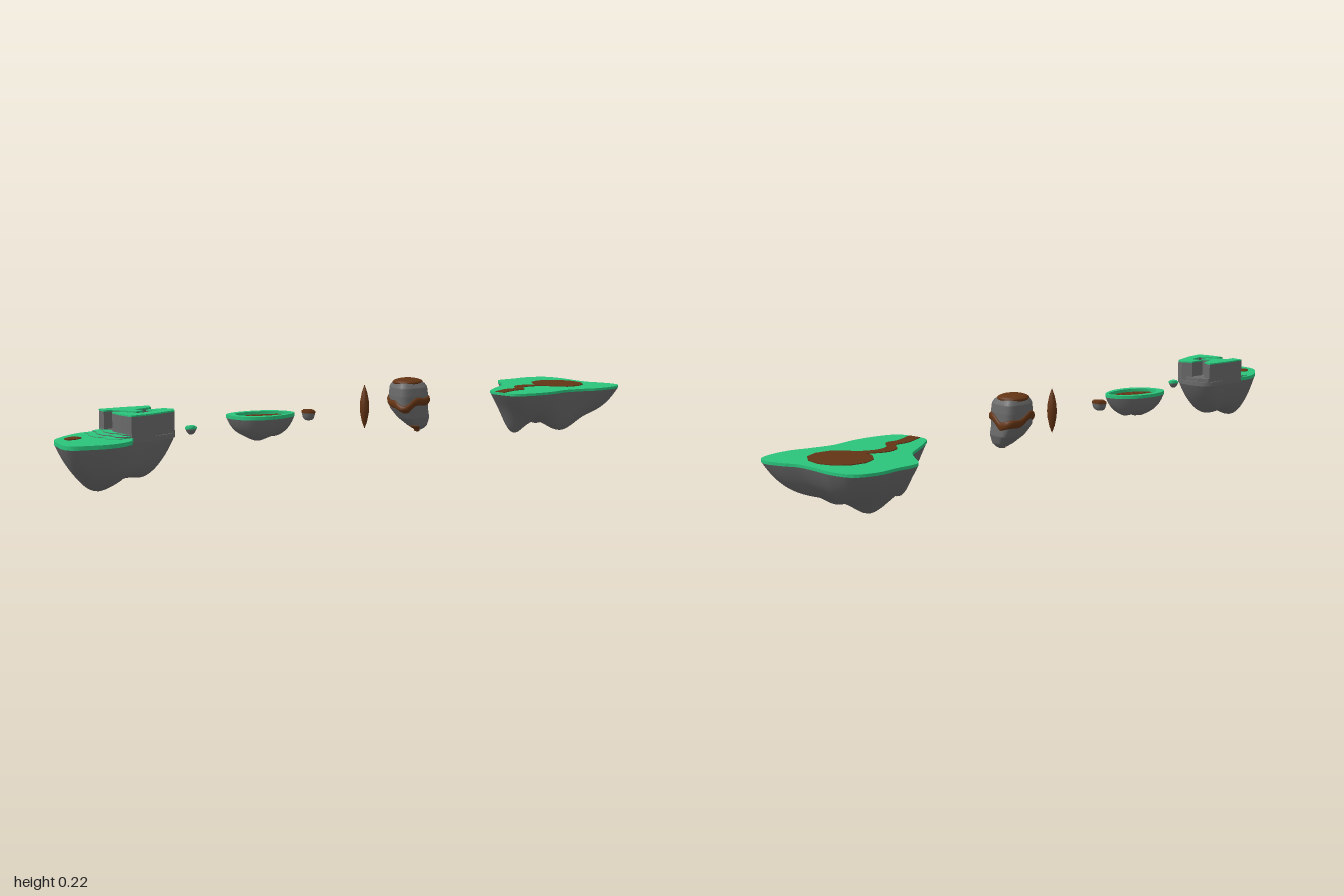
import * as THREE from 'three';
import { ParametricGeometry } from 'three/addons/geometries/ParametricGeometry.js';

const material = (color) => new THREE.MeshStandardMaterial({ color, side: THREE.DoubleSide });

export function createModel() {
  const rock = material(0x6a6a6a), grass = material(0x2ac47c), earth = material(0x633414);
  const model = new THREE.Group();
  model.name = 'floatingIslands';

  const add = (parent, name, geometry, mat) => {
    const mesh = new THREE.Mesh(geometry, mat);
    mesh.name = name;
    parent.add(mesh);
    return mesh;
  };
  const group = (name) => {
    const g = new THREE.Group();
    g.name = name;
    model.add(g);
    return g;
  };

  // Plan outlines are [x, z] pairs
  const closedCurve = (pts) =>
    new THREE.CatmullRomCurve3(pts.map(([x, z]) => new THREE.Vector3(x, 0, z)), true);
  const smooth = (pts, n = 72) => closedCurve(pts).getPoints(n).slice(0, n).map((p) => [p.x, p.z]);
  const scaled = (pts, cx, cz, s) => pts.map(([x, z]) => [cx + (x - cx) * s, cz + (z - cz) * s]);
  const ellipse = (cx, cz, rx, rz, n = 12) => Array.from({ length: n }, (_, i) => {
    const a = (i / n) * Math.PI * 2;
    return [cx + Math.cos(a) * rx, cz + Math.sin(a) * rz];
  });

  // Horizontal plate with vertical sides
  const slab = (parent, name, pts, y, depth, mat, hole) => {
    const toV2 = ([x, z]) => new THREE.Vector2(x, -z);
    const shape = new THREE.Shape(pts.map(toV2));
    if (hole) shape.holes.push(new THREE.Path(hole.map(toV2)));
    const geo = new THREE.ExtrudeGeometry(shape, { depth, bevelEnabled: false });
    geo.rotateX(-Math.PI / 2).translate(0, y, 0);
    return add(parent, name, geo, mat);
  };

  // Hanging rock: plan outline drawn in to a centre, with rounded lobes [x, z, radius, depth];
  // a higher fullness makes the sides steeper
  const underside = (parent, pts, [cx, cz], top, base, lobes, fullness, segments = 72) => {
    const curve = closedCurve(pts);
    const geo = new ParametricGeometry((u, v, target) => {
      const t = Math.max(0.002, Math.sqrt(Math.max(0, 1 - v)));
      const p = curve.getPoint(u % 1);
      const x = cx + (p.x - cx) * t, z = cz + (p.z - cz) * t;
      let d = base;
      for (const [lx, lz, r, a] of lobes) d += a * Math.exp(-((x - lx) ** 2 + (z - lz) ** 2) / (r * r));
      target.set(x, Math.max(0, top - d * (1 - t ** fullness)), z);
    }, segments, 24);
    return add(parent, 'hangingRock', geo, rock);
  };

  // Large back island with pond and stream
  const back = group('backIsland');
  const backPlan = [[-.13, -.975], [-.07, -.988], [0, -.98], [.055, -.977], [.1, -.992], [.15, -1], [.18, -.987],
    [.194, -.95], [.19, -.88], [.165, -.82], [.145, -.76], [.145, -.69], [.13, -.62], [.1, -.565],
    [.06, -.555], [0, -.56], [-.03, -.6], [-.06, -.66], [-.085, -.71], [-.13, -.75], [-.175, -.79],
    [-.168, -.86], [-.163, -.92]];
  underside(back, backPlan, [.02, -.82], .142, .098,
    [[.1, -.8, .06, .05], [-.055, -.84, .05, .037], [.02, -.64, .045, .07]], 4, 96);
  slab(back, 'grassTop', smooth(backPlan, 96), .14, .008, grass);
  slab(back, 'pond', ellipse(.02, -.865, .09, .08), .146, .004, earth);
  const bends = [[.02, -.79], [-.01, -.74], [-.005, -.7], [.03, -.665], [.025, -.625], [.04, -.56]];
  const stream = new THREE.CatmullRomCurve3(bends.map(([x, z]) => new THREE.Vector3(x, 0, z)))
    .getPoints(24).map((p) => [p.x, p.z]);
  slab(back, 'stream', [...stream.map(([x, z]) => [x - .019, z]),
    ...stream.reverse().map(([x, z]) => [x + .019, z])], .146, .004, earth);

  // Boulder: rounded square sections [y, half width, centre x, centre z]
  const boulder = group('boulder');
  const sections = [[.065, .012, .012, -.22], [.075, .024, .01, -.217], [.1, .04, .0, -.21], [.13, .048, -.01, -.2],
    [.17, .049, -.011, -.2], [.195, .047, -.012, -.2], [.206, .041, -.013, -.2], [.21, .034, -.013, -.2]]
    .map((s) => new THREE.Vector4(...s));
  const boulderPoint = (a, y, out, target) => {
    let i = 0;
    while (i < sections.length - 2 && sections[i + 1].x < y) i++;
    const s = sections[i], e = sections[i + 1];
    const q = s.clone().lerp(e, THREE.MathUtils.clamp((y - s.x) / (e.x - s.x), 0, 1));
    const b = a - 0.2;
    const r = (q.y + out) / (Math.abs(Math.cos(b)) ** 4 + Math.abs(Math.sin(b)) ** 4) ** 0.25;
    target.set(q.z + r * Math.cos(a), y, q.w + r * 1.1 * Math.sin(a));
  };
  // A strip wrapped round the boulder between heights low(a) and high(a)
  const wrap = (name, low, high, bulge, mat, a0 = 0, a1 = Math.PI * 2, rows = 8) =>
    add(boulder, name, new ParametricGeometry((u, v, target) => {
      const a = a0 + (a1 - a0) * u;
      const y = THREE.MathUtils.lerp(high(a), low(a), v);
      boulderPoint(a, y, bulge * Math.sqrt(Math.sin(Math.PI * Math.min(1, Math.max(0, v)))), target);
    }, 40, rows), mat);
  wrap('boulderBody', () => .065, () => .21, 0, rock, 0, Math.PI * 2, 30);
  const wave = (a) => .145 + .011 * Math.sin(2 * a + 2.4) + .005 * Math.sin(5 * a);
  wrap('boulderBand', (a) => wave(a) - .012, (a) => wave(a) + .012, .005, earth);
  wrap('boulderPatch', () => .058, () => .078, .004, earth, .5, 1.7);
  const cap = add(boulder, 'boulderCap', new THREE.SphereGeometry(1, 24, 12), earth);
  cap.scale.set(.045, .013, .048);
  cap.position.set(-.015, .208, -.2);
  const foot = add(boulder, 'boulderFoot', new THREE.SphereGeometry(1, 16, 8), rock);
  foot.scale.set(.013, .005, .014);
  foot.position.set(.012, .066, -.22);

  // Upright spindle
  const spindle = [[.0005, .08], [.008, .1], [.013, .125], [.0145, .145], [.013, .165], [.008, .19], [.0005, .212]];
  add(model, 'spindle', new THREE.LatheGeometry(spindle.map((p) => new THREE.Vector2(...p)), 12), earth)
    .position.set(-.032, 0, -.036);

  // Floating stones with a flat coloured top
  const stone = (name, plan, x, z, top, depth, fullness, mat) => {
    const g = group(name);
    underside(g, plan, [x, z], top - .006, depth, [], fullness, 21);
    slab(g, 'stoneTop', smooth(plan, 21), top - .008, .005, mat);
    slab(g, 'stoneCrown', scaled(smooth(plan, 21), x, z, .8), top - .003, .003, mat);
  };
  stone('brownStone', [[-.08, .137], [-.062, .138], [-.043, .152], [-.05, .17], [-.068, .176], [-.092, .158]],
    -.068, .156, .151, .024, 5, earth);
  stone('grassStone', ellipse(-.06, .587, .015, .017, 7), -.06, .587, .15, .018, 2.5, grass);

  // Small middle island with a sunken earth bed
  const middle = group('middleIsland');
  const midPlan = [[-.075, .232], [-.037, .234], [-.016, .294], [-.024, .347], [-.051, .39], [-.1, .41],
    [-.14, .403], [-.155, .362], [-.145, .304], [-.116, .257]];
  const bed = smooth([[-.07, .245], [-.04, .245], [-.033, .31], [-.056, .36], [-.1, .39], [-.134, .372],
    [-.124, .304], [-.1, .265]], 40);
  underside(middle, midPlan, [-.085, .32], .147, .052, [[-.085, .335, .035, .017], [-.08, .27, .025, .01]], 5);
  slab(middle, 'grassRim', smooth(midPlan), .145, .01, grass, bed);
  slab(middle, 'earthBed', bed, .141, .005, earth);
  [[-.075, .27], [-.055, .295], [-.09, .3], [-.07, .33], [-.108, .335], [-.088, .36], [-.115, .368]].forEach(([x, z]) => {
    const lump = add(middle, 'earthLump', new THREE.SphereGeometry(.009, 10, 6), earth);
    lump.scale.y = .5;
    lump.position.set(x, .146, z);
  });

  // Front island: low meadow, terraces and a raised plateau split by a winding canyon
  const front = group('frontIsland');
  const frontPlan = [[-.14, .645], [-.085, .64], [-.03, .665], [-.02, .745], [-.025, .8], [.01, .83], [.023, .89],
    [.003, .95], [-.02, .99], [-.045, 1], [-.09, .99], [-.14, .97], [-.18, .91], [-.198, .85], [-.19, .795],
    [-.174, .73], [-.159, .665]];
  underside(front, frontPlan, [-.095, .82], .136, .098,
    [[-.11, .87, .06, .037], [-.04, .88, .05, .012], [-.09, .73, .05, .02]], 4, 84);
  const outline = smooth(frontPlan, 84);
  slab(front, 'grassMeadow', outline.filter(([, z]) => z > .785), .133, .011, grass);
  slab(front, 'plateauBase', outline.filter(([, z]) => z < .805), .13, .013, rock);
  slab(front, 'canyonFloor', [[-.15, .657], [-.118, .645], [-.085, .645], [-.032, .667], [-.023, .745], [-.03, .797],
    [-.188, .793], [-.173, .73]], .14, .014, rock);
  slab(front, 'earthPatch', smooth([[-.145, .907], [-.118, .9], [-.106, .92], [-.11, .946], [-.133, .944]], 20),
    .142, .004, earth);
  [[.868, .003], [.844, .006], [.822, .009]].forEach(([z, h]) => {
    const step = [[-.188, .795], [-.028, .795], [-.03, z - .025], [-.05, z - .005], [-.075, z - .012],
      [-.1, z], [-.135, z - .002], [-.16, z - .016], [-.186, z - .022]];
    slab(front, 'terraceRock', step, .143, h - .001, rock);
    slab(front, 'terraceGrass', step, .142 + h, .001, grass);
  });
  const plateaus = {
    left: [[-.085, .66], [-.053, .648], [-.03, .663], [-.02, .745], [-.025, .805], [-.07, .809], [-.115, .805],
      [-.105, .785], [-.055, .765], [-.055, .705], [-.095, .71], [-.085, .675]],
    right: [[-.152, .66], [-.122, .675], [-.116, .733], [-.08, .728], [-.083, .75], [-.15, .78], [-.155, .805],
      [-.191, .797], [-.175, .73]],
  };
  for (const [side, plan] of Object.entries(plateaus)) {
    slab(front, side + 'PlateauRock', plan, .132, .068, rock);
    slab(front, side + 'PlateauGrass', plan, .2, .004, grass);
  }
  return model;
}
